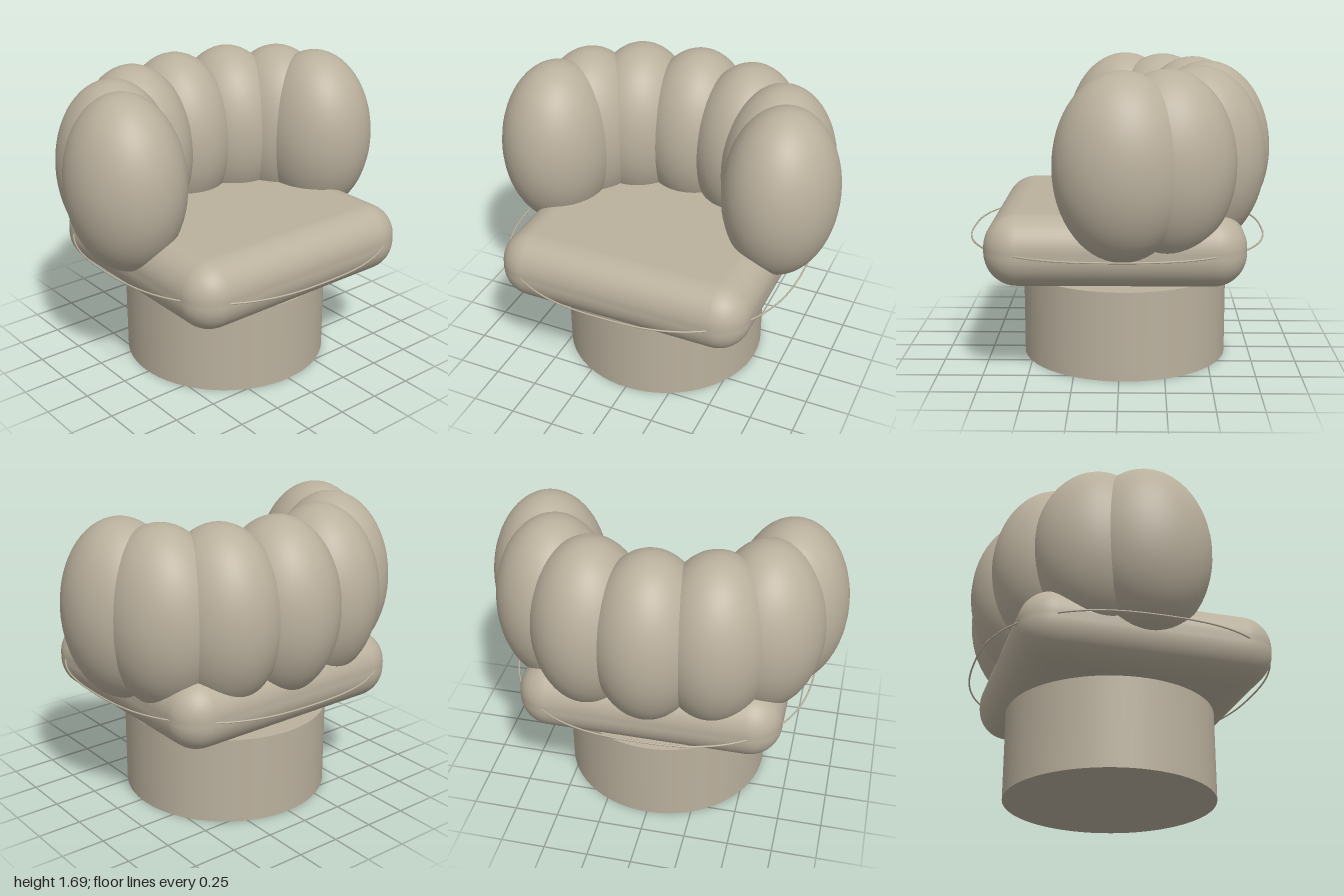
import * as THREE from 'three';
import { RoundedBoxGeometry } from 'three/addons/geometries/RoundedBoxGeometry.js';

const fabric = new THREE.MeshStandardMaterial({ color: 0xbab09d });
fabric.name = 'beige fabric';

function part(name, geometry, x, y, z) {
  const mesh = new THREE.Mesh(geometry, fabric);
  mesh.name = name;
  mesh.position.set(x, y, z);
  return mesh;
}

// Closed, slightly squared loop for the piping
function pipingGeometry(rx, rz, power, thickness) {
  const points = [];
  for (let i = 0; i < 64; i++) {
    const a = (i / 64) * Math.PI * 2;
    const c = Math.cos(a), s = Math.sin(a);
    points.push(new THREE.Vector3(
      rx * Math.sign(c) * Math.abs(c) ** (2 / power), 0,
      rz * Math.sign(s) * Math.abs(s) ** (2 / power)));
  }
  const curve = new THREE.CatmullRomCurve3(points, true);
  return new THREE.TubeGeometry(curve, 160, thickness, 8, true);
}

export function createModel() {
  const chair = new THREE.Group();
  chair.name = 'armchair';

  // Round plinth, seat cushion and its piping
  chair.add(part('base', new THREE.CylinderGeometry(0.586, 0.586, 0.5, 64), 0, 0.25, -0.025));
  chair.add(part('seatCushion', new RoundedBoxGeometry(1.47, 0.39, 1.4, 6, 0.18), 0, 0.73, 0.02));
  chair.add(part('seatPiping', pipingGeometry(0.852, 0.828, 2.5, 0.005), 0, 0.733, 0.016));

  // Padded lobes wrapping round the back, mirrored left and right
  const backrest = new THREE.Group();
  backrest.name = 'backrest';
  const lobe = new THREE.SphereGeometry(1, 48, 32).scale(0.32, 0.496, 0.363);
  const centres = [[0, -0.485], [0.34, -0.425], [0.585, -0.252], [0.68, -0.02]];
  centres.forEach(([x, z], i) => {
    for (const side of i === 0 ? [1] : [1, -1]) {
      const name = i === 0 ? 'backLobe' : (side > 0 ? 'leftLobe' : 'rightLobe') + i;
      backrest.add(part(name, lobe, side * x, 1.192, z));
    }
  });
  chair.add(backrest);
  return chair;
}
